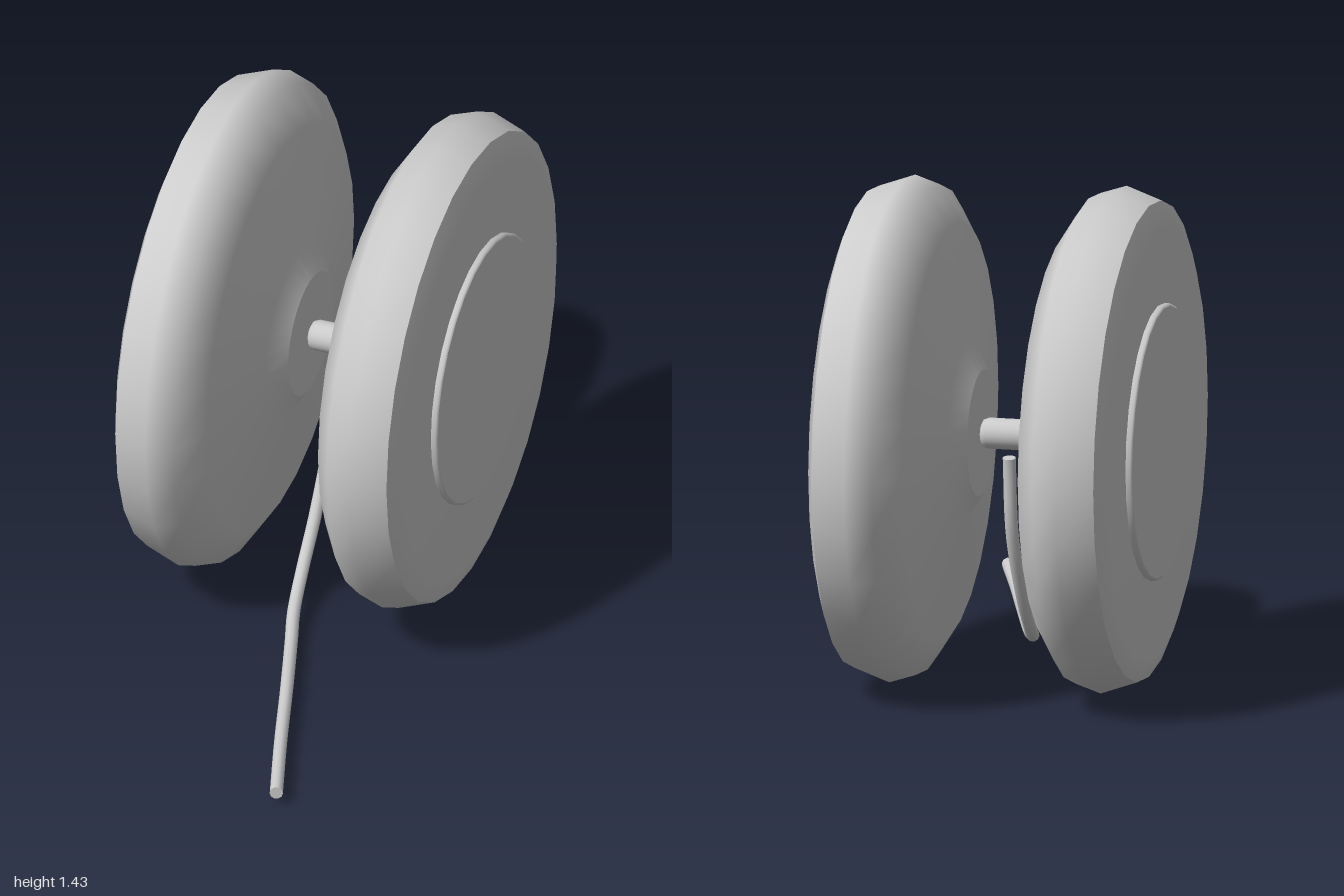
import * as THREE from 'three';

const AXIS_Y = 0.717, AXIS_Z = -0.285, SIDES = 28;

export function createModel() {
  const model = new THREE.Group();
  model.name = 'yoyo';
  const grey = new THREE.MeshStandardMaterial({ color: 0xcccccc });
  grey.name = 'light grey';

  // Turned part from [distance along the axle, radius] pairs
  const turned = (parent, name, profile, sides = SIDES) => {
    const points = profile.map(([along, r]) => new THREE.Vector2(r, along));
    const mesh = new THREE.Mesh(new THREE.LatheGeometry(points, sides), grey);
    mesh.name = name;
    parent.add(mesh);
  };

  // Two mirrored halves, each split where its edges are sharp
  for (const side of [1, -1]) {
    const half = new THREE.Group();
    half.name = side > 0 ? 'leftHalf' : 'rightHalf';
    half.position.set(0, AXIS_Y, AXIS_Z);
    half.rotation.z = -side * Math.PI / 2;
    turned(half, 'hubFace', [[0.076, 0], [0.076, 0.18]]);
    turned(half, 'body', [[0.076, 0.18], [0.118, 0.255], [0.168, 0.59],
      [0.232, 0.692], [0.306, 0.716], [0.408, 0.68]]);
    turned(half, 'outerFace', [[0.408, 0.68], [0.433, 0.612], [0.433, 0]]);
    turned(half, 'capRim', [[0.43, 0.392], [0.446, 0.392], [0.451, 0.385]]);
    turned(half, 'cap', [[0.451, 0.385], [0.451, 0]]);
    model.add(half);
  }

  // Axle with rounded ends
  const axle = new THREE.Group();
  axle.name = 'axle';
  axle.position.set(0, AXIS_Y, AXIS_Z);
  axle.rotation.z = -Math.PI / 2;
  turned(axle, 'axlePin', [[-0.076, 0], [-0.076, 0.025], [-0.07, 0.038], [-0.056, 0.044],
    [0.056, 0.044], [0.07, 0.038], [0.076, 0.025], [0.076, 0]], 20);
  model.add(axle);

  // String hanging from the axle and trailing along the ground
  const path = new THREE.CatmullRomCurve3([
    [0, 0.645, -0.27], [0, 0.42, -0.235], [-0.006, 0.22, -0.14], [-0.004, 0.1, -0.03],
    [0.022, 0.048, 0.11], [0.06, 0.034, 0.23], [0.14, 0.04, 0.48], [0.22, 0.04, 0.74],
    [0.303, 0.042, 0.995],
  ].map((p) => new THREE.Vector3(...p)));
  const string = new THREE.Mesh(new THREE.TubeGeometry(path, 40, 0.019, 10), grey);
  string.name = 'string';
  model.add(string);

  // Flat string ends
  for (const t of [0, 1]) {
    const end = new THREE.Mesh(new THREE.CircleGeometry(0.019, 10), grey);
    end.name = 'stringEnd';
    end.position.copy(path.getPointAt(t));
    const outward = path.getTangentAt(t).multiplyScalar(t ? 1 : -1);
    end.quaternion.setFromUnitVectors(new THREE.Vector3(0, 0, 1), outward);
    model.add(end);
  }
  return model;
}
